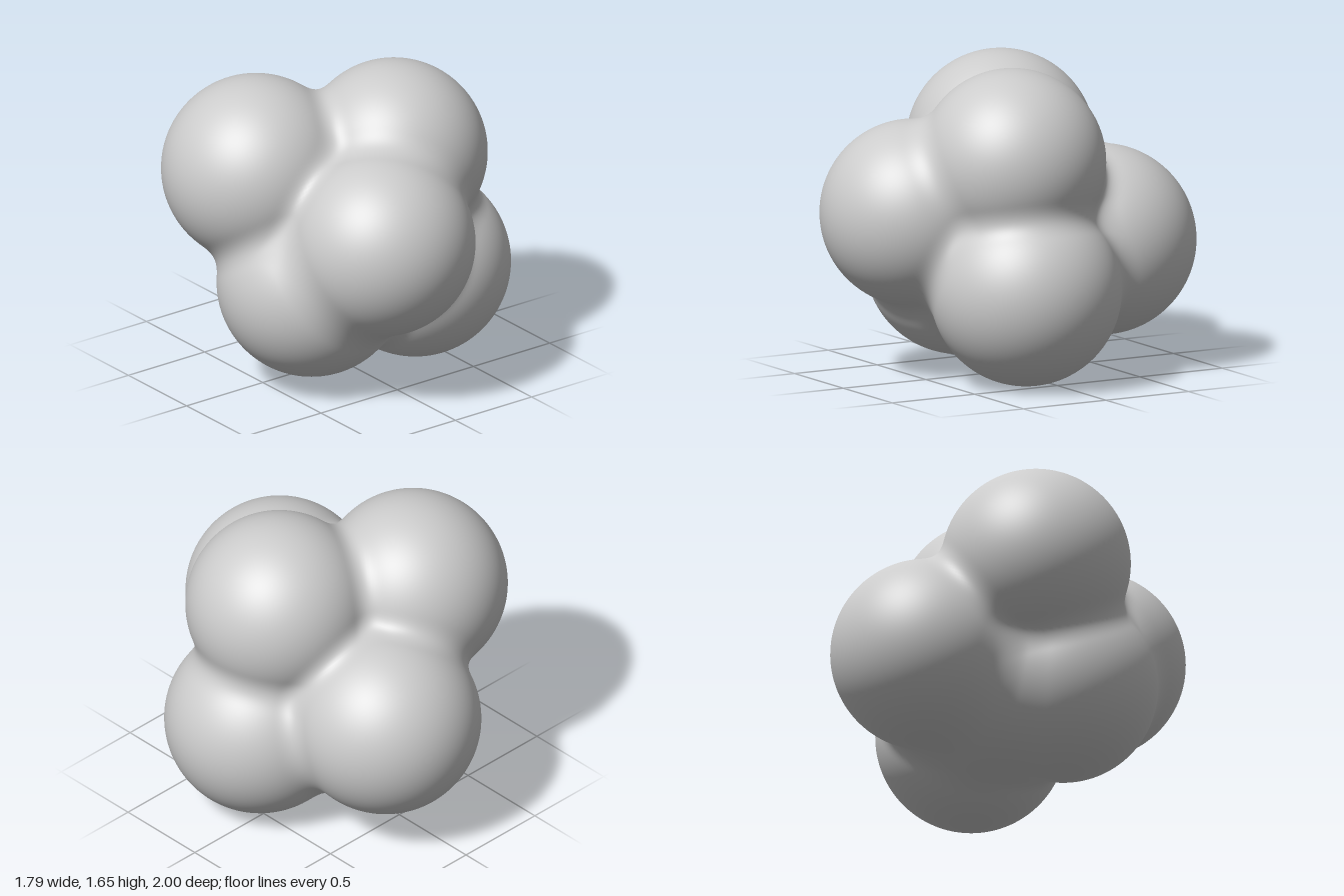
import * as THREE from 'three';
import { mergeVertices } from 'three/addons/utils/BufferGeometryUtils.js';

// Balls of the cluster: x, y, z, radius
const BALLS = [
  [-0.11, 0.87, 0.51, 0.49],   // front
  [0.26, 1.16, 0.13, 0.49],    // upper left
  [-0.40, 1.13, -0.19, 0.495], // upper right
  [0.40, 0.50, 0.13, 0.50],    // lower left
  [-0.28, 0.56, 0.13, 0.495],  // lower right
  [0.10, 0.67, -0.50, 0.50],   // back
  [0.00, 0.59, -0.12, 0.49],   // core, showing underneath
];
const BLEND = 0.11;
const CENTRE = new THREE.Vector3(0, 0.78, 0);

// Signed distance to the balls, joined with soft fillets
function distance(p) {
  let d = Infinity;
  for (const [x, y, z, r] of BALLS) {
    const e = Math.hypot(p.x - x, p.y - y, p.z - z) - r;
    const h = Math.max(BLEND - Math.abs(d - e), 0) / BLEND;
    d = Math.min(d, e) - h * h * BLEND / 4;
  }
  return d;
}

// Shrink-wrap a fine icosphere inward onto the cluster
function clusterGeometry() {
  const ico = new THREE.IcosahedronGeometry(1, 48);
  ico.deleteAttribute('uv');
  ico.deleteAttribute('normal');
  const geometry = mergeVertices(ico, 1e-5);
  const pos = geometry.attributes.position;
  const dir = new THREE.Vector3();
  const p = new THREE.Vector3();
  for (let i = 0; i < pos.count; i++) {
    dir.fromBufferAttribute(pos, i).normalize();
    let t = 1.6;
    for (let step = 0; step < 120; step++) {
      const d = distance(p.copy(CENTRE).addScaledVector(dir, t));
      if (d < 1e-4) break;
      t -= d;
    }
    pos.setXYZ(i, p.x, p.y, p.z);
  }
  geometry.computeVertexNormals();
  return geometry;
}

export function createModel() {
  const group = new THREE.Group();
  group.name = 'ballCluster';
  const mesh = new THREE.Mesh(clusterGeometry(), new THREE.MeshStandardMaterial({ color: 0xcccccc }));
  mesh.name = 'mergedBalls';
  group.add(mesh);
  return group;
}
